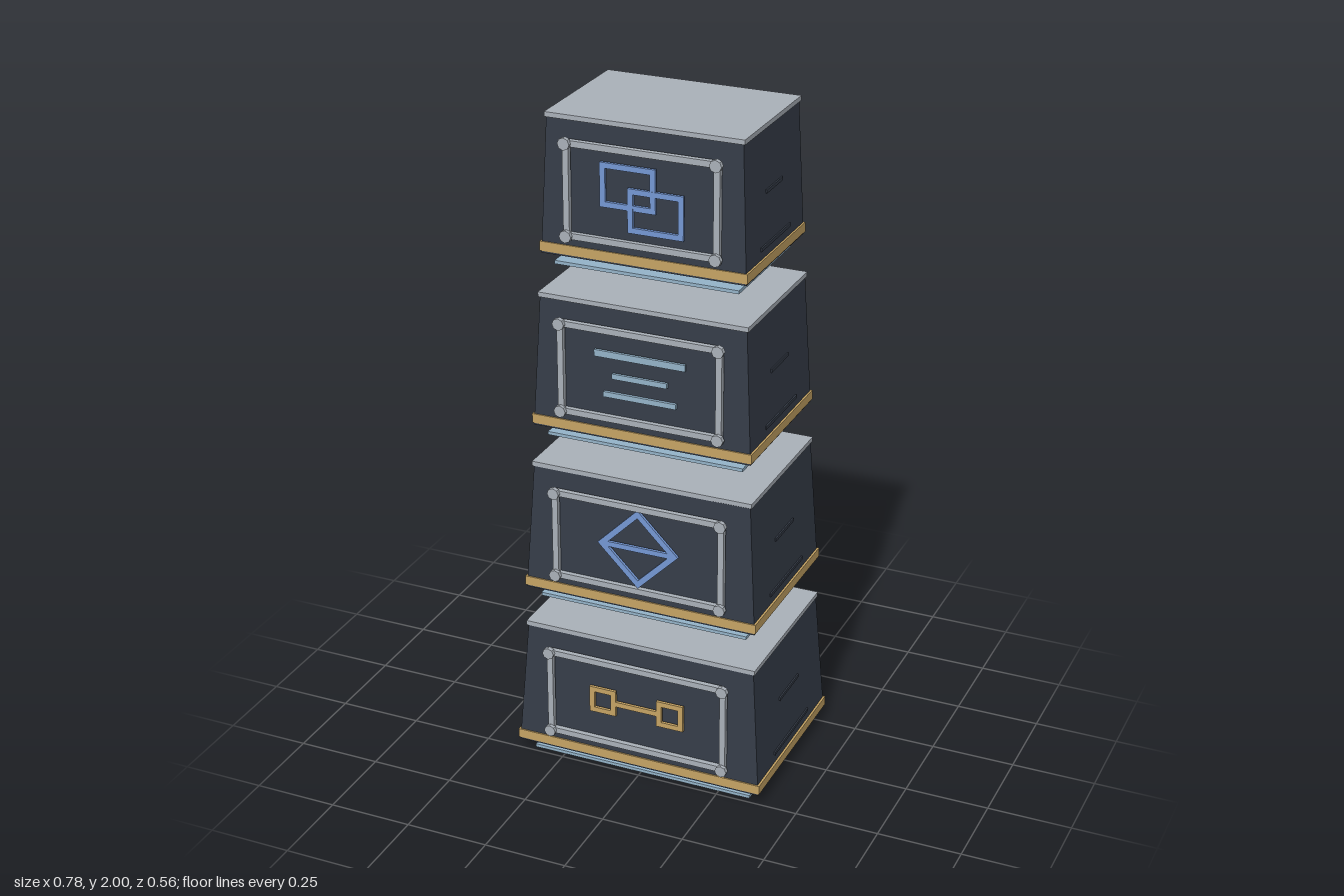
import * as THREE from 'three';

const mat = (name, color, extra = {}) => Object.assign(new THREE.MeshStandardMaterial({ color, ...extra }), { name });

export function createModel() {
  const dark = mat('dark slate', 0x353c48);
  const silver = mat('silver', 0xaab1b9);
  const gold = mat('gold', 0xc6a464);
  const blue = mat('blue', 0x7598d4);
  const pale = mat('pale blue', 0x94b3c9);

  const root = new THREE.Group();
  root.name = 'stackedTower';
  const CZ = -0.01; // the blocks sit slightly back so the frames balance them

  function add(parent, name, geo, material, x = 0, y = 0, z = 0) {
    const m = new THREE.Mesh(geo, material);
    m.name = name;
    m.position.set(x, y, z);
    parent.add(m);
    return m;
  }
  const box = (parent, name, material, w, h, d, x, y, z) =>
    add(parent, name, new THREE.BoxGeometry(w, h, d), material, x, y, z);

  // Box whose top is narrower than its bottom
  function taperedBox(bottom, top, h, ratio) {
    const g = new THREE.BoxGeometry(2, h, 2 * ratio);
    const p = g.attributes.position;
    for (let i = 0; i < p.count; i++) {
      const s = p.getY(i) > 0 ? top : bottom;
      p.setX(i, p.getX(i) * s);
      p.setZ(i, p.getZ(i) * s);
    }
    g.computeVertexNormals();
    return g;
  }

  // Flat hollow outline from an outer polygon and an inner one
  function outline(outer, inner, depth) {
    const s = new THREE.Shape(outer.map(([x, y]) => new THREE.Vector2(x, y)));
    s.holes.push(new THREE.Path(inner.map(([x, y]) => new THREE.Vector2(x, y))));
    return new THREE.ExtrudeGeometry(s, { depth, bevelEnabled: false });
  }
  const rect = (a, b) => [[-a, -b], [a, -b], [a, b], [-a, b]];
  const diamond = (r) => [[0, -r], [r, 0], [0, r], [-r, 0]];
  const T = 0.009; // emblem thickness
  const LINE = 0.016;
  const hollowRect = (w, h) => outline(rect(w / 2, h / 2), rect(w / 2 - LINE, h / 2 - LINE), T);

  // One emblem per tier, from the bottom up
  const emblems = [
    (g) => {
      for (const s of [-1, 1]) add(g, 'linkSquare', hollowRect(0.084, 0.084), gold, s * 0.107, 0.238, 0);
      box(g, 'linkBar', gold, 0.134, LINE, T, 0, 0.237, T / 2);
    },
    (g) => {
      add(g, 'diamond', outline(diamond(0.125), diamond(0.1), T), blue, 0, 0.235, 0);
      box(g, 'diamondBar', blue, 0.22, LINE, T, 0, 0.235, T / 2);
    },
    (g) => {
      for (const [w, h, y] of [[0.274, 0.02, 0.295], [0.166, 0.016, 0.232], [0.22, 0.016, 0.174]])
        box(g, 'stripe', pale, w, h, T, 0, y, T / 2);
    },
    (g) => {
      add(g, 'upperSquare', hollowRect(0.164, 0.127), blue, -0.04, 0.263, 0);
      add(g, 'lowerSquare', hollowRect(0.164, 0.127), blue, 0.042, 0.2, 0.001);
    },
  ];

  for (let i = 0; i < 4; i++) {
    const tier = new THREE.Group();
    tier.name = 'tier' + (i + 1);
    tier.position.y = i * 0.52;
    root.add(tier);

    const base = 0.389 - i * 0.027; // half width of the trim
    const top = 0.362 - i * 0.0235; // half width of the lid
    const ratio = 0.698;
    const front = base * ratio + CZ;

    // Block, trim, lid and the thin plate below
    add(tier, 'block', taperedBox(base - 0.004, top - 0.005, 0.392, ratio), dark, 0, 0.232, CZ);
    box(tier, 'trim', gold, base * 2, 0.028, base * 2 * ratio, 0, 0.056, CZ);
    box(tier, 'lid', silver, top * 2, 0.014, top * 2 * ratio, 0, 0.433, CZ);
    box(tier, 'basePlate', pale, base * 1.786, 0.01, base * 1.786 * ratio, 0, 0.005, CZ);

    // Low ribs on both sides
    for (const s of [-1, 1])
      for (const [y, len] of [[0.1, 0.69], [0.25, 0.38]]) {
        const wall = THREE.MathUtils.lerp(base - 0.004, top - 0.005, (y - 0.036) / 0.392);
        box(tier, 'sideRib', dark, 0.008, 0.01, len * base, s * wall, y, CZ);
      }

    // Front frame with corner studs
    const frame = new THREE.Group();
    frame.name = 'frontFrame';
    tier.add(frame);
    const fx = 0.275 - i * 0.018, y0 = 0.102, y1 = 0.367, fz = front + 0.001;
    for (const y of [y0, y1]) box(frame, 'frameRail', silver, fx * 2, 0.018, 0.016, 0, y, fz);
    for (const s of [-1, 1]) {
      box(frame, 'framePost', silver, 0.018, y1 - y0, 0.0158, s * fx, (y0 + y1) / 2, fz);
      for (const y of [y0, y1]) {
        const stud = new THREE.CylinderGeometry(0.018, 0.018, 0.014, 8).toNonIndexed();
        stud.rotateX(Math.PI / 2);
        stud.computeVertexNormals();
        add(frame, 'frameStud', stud, silver, s * fx, y, fz + 0.012);
      }
    }

    // Emblem inside the frame
    const emblem = new THREE.Group();
    emblem.name = 'emblem';
    emblem.position.z = front - 0.005;
    emblems[i](emblem);
    tier.add(emblem);
  }
  return root;
}
